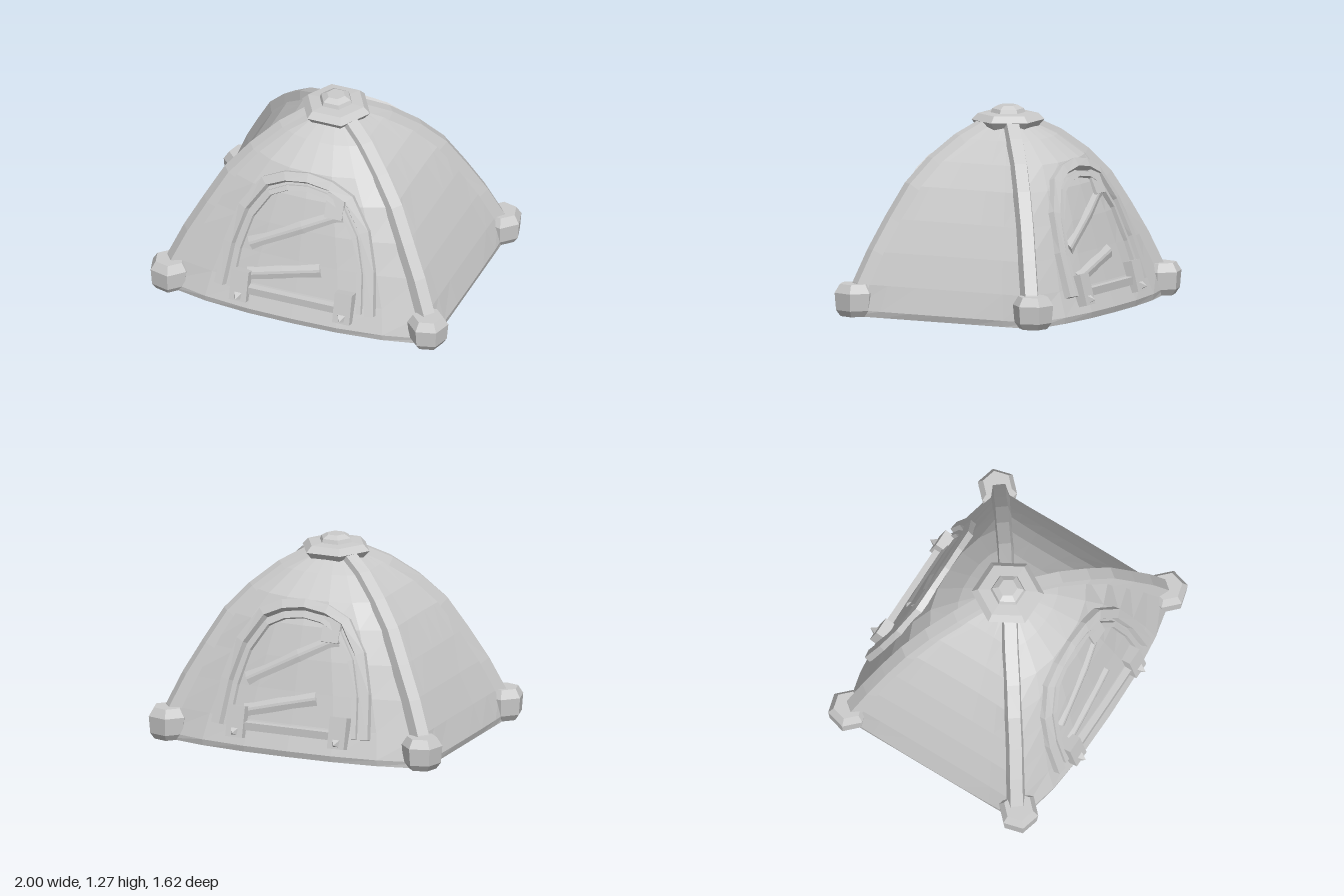
import * as THREE from 'three';

const V = (x, y, z) => new THREE.Vector3(x, y, z);

// Dome levels: height, corner x, corner z, mid-front z, mid-side x
const LEVELS = [
  [0, 0.9, 0.65, 0.75, 0.9],
  [0.04, 0.9, 0.65, 0.76, 0.91],
  [0.2, 0.86, 0.61, 0.695, 0.855],
  [0.4, 0.775, 0.55, 0.635, 0.77],
  [0.6, 0.67, 0.48, 0.58, 0.67],
  [0.8, 0.56, 0.4, 0.515, 0.55],
  [0.95, 0.43, 0.31, 0.44, 0.425],
  [1.08, 0.28, 0.2, 0.28, 0.27],
  [1.17, 0.12, 0.09, 0.12, 0.13],
];

// Bulge of a wall between its corners, t from -1 to 1
const bulge = (t) => 1 - Math.abs(t) ** 2.6;

function levelAt(y) {
  let i = 0;
  while (i < LEVELS.length - 2 && LEVELS[i + 1][0] < y) i++;
  const a = LEVELS[i], b = LEVELS[i + 1], t = (y - a[0]) / (b[0] - a[0]);
  return a.map((v, k) => v + (b[k] - v) * t);
}

// Point and outward normal on the front wall
function frontPoint(x, y) {
  const [, cx, cz, fz] = levelAt(y);
  return V(x, y, cz + (fz - cz) * bulge(x / cx));
}
function frontNormal(x, y) {
  const e = 0.06;
  const dx = frontPoint(x + e, y).sub(frontPoint(x - e, y));
  const dy = frontPoint(x, y + e).sub(frontPoint(x, y - e));
  return dx.cross(dy).normalize();
}

function toGeometry(points, index) {
  const g = new THREE.BufferGeometry().setFromPoints(points);
  g.setIndex(index);
  g.computeVertexNormals();
  return g;
}

// Closed dome skin from horizontal cross-sections
function domeGeometry() {
  const STEPS = 6, points = [], index = [], n = STEPS * 4;
  for (const [y, cx, cz, fz, sx] of LEVELS) {
    for (let side = 0; side < 4; side++) {
      for (let j = 0; j < STEPS; j++) {
        const t = -1 + (2 * j) / STEPS, k = bulge(t);
        const z = cz + (fz - cz) * k, x = cx + (sx - cx) * k;
        points.push([V(t * cx, y, z), V(x, y, -t * cz), V(-t * cx, y, -z), V(-x, y, t * cz)][side]);
      }
    }
  }
  const base = points.push(V(0, 0, 0)) - 1, top = points.push(V(0, 1.19, 0)) - 1;
  const last = (LEVELS.length - 1) * n;
  for (let i = 0; i < n; i++) {
    const j = (i + 1) % n;
    for (let r = 0; r < last; r += n) {
      index.push(r + i, r + j, r + n + j, r + i, r + n + j, r + n + i);
    }
    index.push(base, j, i, top, last + i, last + j);
  }
  return toGeometry(points, index);
}

// Trapezoid strip swept along a path, standing on the given normals
function stripGeometry(path, normals, halfWidth, height, depth = 0.05, taper = 0.65) {
  const points = [], index = [], end = path.length - 1;
  path.forEach((p, k) => {
    const T = path[Math.min(k + 1, end)].clone().sub(path[Math.max(k - 1, 0)]).normalize();
    const S = T.clone().cross(normals[k]).normalize();
    const N = S.clone().cross(T);
    for (const [s, h] of [[-1, -depth], [1, -depth], [taper, height], [-taper, height]]) {
      points.push(p.clone().addScaledVector(S, s * halfWidth).addScaledVector(N, h));
    }
  });
  for (let k = 0; k < end; k++) {
    for (let i = 0; i < 4; i++) {
      const a = k * 4 + i, b = k * 4 + ((i + 1) % 4);
      index.push(a, a + 4, b + 4, a, b + 4, b);
    }
  }
  const e = end * 4;
  index.push(0, 1, 2, 0, 2, 3, e, e + 2, e + 1, e, e + 3, e + 2);
  return toGeometry(points, index);
}

function wallStrip(coords, halfWidth, height, depth, taper) {
  return stripGeometry(coords.map(([x, y]) => frontPoint(x, y)),
    coords.map(([x, y]) => frontNormal(x, y)), halfWidth, height, depth, taper);
}

const lathe = (profile) =>
  new THREE.LatheGeometry(profile.map(([r, y]) => new THREE.Vector2(r, y)), 6);

export function createModel() {
  const model = new THREE.Group();
  model.name = 'tent';
  const canvas = new THREE.MeshStandardMaterial({ color: 0xcccccc, flatShading: true });
  canvas.name = 'light grey canvas';

  const add = (parent, name, geometry, x = 0, y = 0, z = 0) => {
    const m = new THREE.Mesh(geometry, canvas);
    m.name = name;
    m.position.set(x, y, z);
    parent.add(m);
    return m;
  };

  add(model, 'dome', domeGeometry());

  // Corner poles and feet
  for (const sx of [-1, 1]) {
    for (const sz of [-1, 1]) {
      const rows = LEVELS.slice(1);
      const path = rows.map(([y, cx, cz]) => V(sx * cx, y, sz * cz));
      const normals = rows.map(([y]) => V(sx * 0.75, 0.15 + y * 0.7, sz * 0.6).normalize());
      add(model, 'cornerPole', stripGeometry(path, normals, 0.06, 0.028));
      const foot = add(model, 'foot', lathe([[0, 0], [0.09, 0], [0.12, 0.04], [0.13, 0.15],
        [0.095, 0.205], [0, 0.205]]), sx * 0.875, 0, sz * 0.635);
      foot.rotation.y = Math.atan2(sx, sz);
    }
  }

  // Hexagonal hub at the peak
  const hub = add(model, 'peakHub', lathe([[0, 1.08], [0.16, 1.1], [0.23, 1.18], [0.19, 1.22],
    [0.11, 1.225], [0.1, 1.25], [0.06, 1.272], [0, 1.272]]));
  hub.rotation.y = Math.PI / 6;

  // Doorways on the front and back
  const half = [[0.505, 0.15], [0.475, 0.42], [0.405, 0.66], [0.28, 0.84], [0.15, 0.9]];
  const arch = [...half, [0, 0.92], ...half.map(([x, y]) => [-x, y]).reverse()];
  for (const turn of [0, Math.PI]) {
    const door = new THREE.Group();
    door.name = turn ? 'backDoor' : 'frontDoor';
    door.rotation.y = turn;
    model.add(door);

    add(door, 'doorFrame', wallStrip(arch, 0.045, 0.04));
    add(door, 'doorPiping',
      wallStrip(arch.map(([x, y]) => [x * 0.86, 0.15 + (y - 0.15) * 0.92]), 0.025, 0.022));

    // Broad, shallow creases in the door cloth
    for (const crease of [[[-0.33, 0.25], [-0.1, 0.31], [0.15, 0.37]],
      [[-0.34, 0.44], [0, 0.62], [0.24, 0.74]]]) {
      add(door, 'doorCrease', wallStrip(crease, 0.085, 0.014, 0.02, 0.1));
    }

    // Rolled sill held by two clips
    add(door, 'sill', new THREE.BoxGeometry(0.66, 0.05, 0.08), 0, 0.165, 0.7);
    for (const x of [-0.36, 0.34]) {
      const clip = add(door, 'clip', new THREE.BoxGeometry(0.115, 0.2, 0.08), x, 0.185, 0.715);
      clip.rotation.x = -0.25;
      const hook = add(door, 'clipHook', new THREE.ConeGeometry(0.06, 0.08, 4), x, 0.13, 0.77);
      hook.rotation.set(Math.PI / 2, Math.PI / 4, 0);
    }

    // Hanging tab near the top of the door
    const tab = add(door, 'tab', new THREE.BoxGeometry(0.12, 0.16, 0.04));
    tab.position.copy(frontPoint(0.2, 0.79));
    tab.rotation.x = -0.4;
  }
  return model;
}
